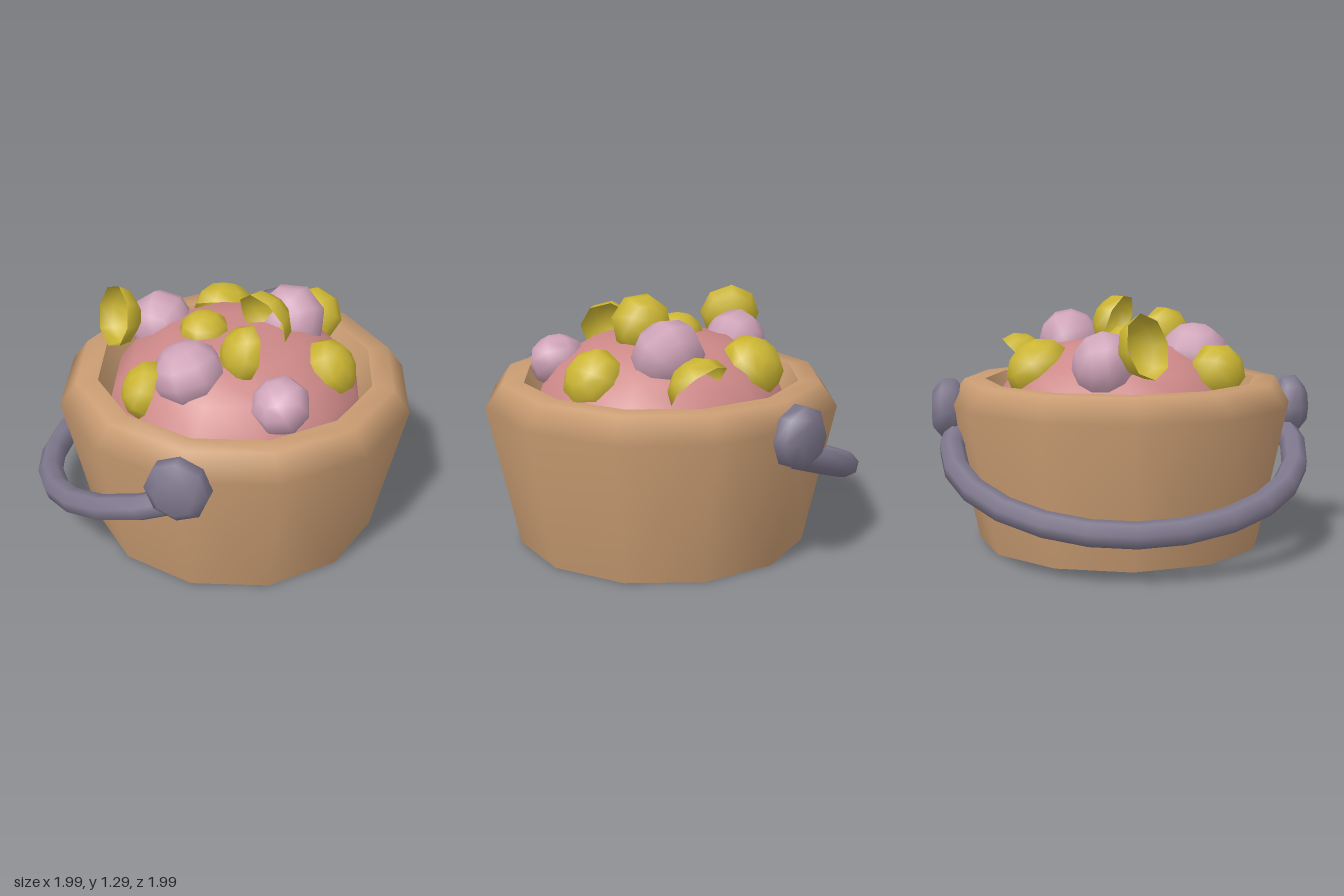
import * as THREE from 'three';

const material = (name, color, side = THREE.FrontSide) => {
  const m = new THREE.MeshStandardMaterial({ color, side });
  m.name = name;
  return m;
};

const lathe = (points, sides) =>
  new THREE.LatheGeometry(points.map(([r, y]) => new THREE.Vector2(r, y)), sides);

export function createModel() {
  const group = new THREE.Group();
  const wood = material('tan wood', 0xc99c72);
  const metal = material('grey violet metal', 0x7f788d);
  const filling = material('rose filling', 0xcc8887);
  const pink = material('pale pink berry', 0xcfa3b8);
  const yellow = material('yellow shell', 0xcbb533, THREE.DoubleSide);
  const cx = 0.07;

  const add = (name, geometry, mat, x = 0, y = 0, z = 0) => {
    const mesh = new THREE.Mesh(geometry, mat);
    mesh.name = name;
    mesh.position.set(x, y, z);
    group.add(mesh);
    return mesh;
  };

  // Twelve-sided bucket: tapered wall, bevelled rim, recessed inside
  add('bucketWall', lathe([[0.76, 0], [0.92, 0.74], [0.83, 0.86], [0.72, 0.86]], 12), wood, cx);
  add('bucketInside', lathe([[0.72, 0.86], [0.64, 0.68]], 12), wood, cx);
  add('bucketBottom', lathe([[0, 0], [0.76, 0]], 12), wood, cx);

  // Domed filling
  add('filling', lathe([[0.67, 0.7], [0.64, 0.8], [0.54, 0.93], [0.36, 1.04], [0.18, 1.065], [0, 1.07]], 12),
    filling, cx);

  // Swinging handle resting to one side
  const path = [];
  for (let i = 0; i <= 14; i++) {
    const t = -1.82 + (3.64 * i) / 14;
    const x = -0.13 - 0.8 * Math.cos(t);
    path.push(new THREE.Vector3(x, 0.24 + 0.36 * (x + 0.94), 0.89 * Math.sin(t)));
  }
  add('handle', new THREE.TubeGeometry(new THREE.CatmullRomCurve3(path), 14, 0.067, 7), metal);

  // Octagonal pivot knobs, front and back
  const knob = lathe([[0, -0.085], [0.1, -0.085], [0.16, -0.035], [0.16, 0.035], [0.1, 0.085], [0, 0.085]], 8);
  knob.rotateX(Math.PI / 2);
  for (const s of [1, -1]) add(s > 0 ? 'frontKnob' : 'backKnob', knob, metal, cx, 0.7, s * 0.912);

  // Round berries: x, y, z, radius
  const berries = [
    [-0.06, 0.99, 0.37, 0.185],
    [0.42, 0.92, 0.41, 0.152],
    [0.29, 1.03, -0.26, 0.19],
    [-0.38, 0.97, -0.12, 0.18],
  ];
  berries.forEach(([x, y, z, r], i) => {
    const b = add('berry' + (i + 1), new THREE.SphereGeometry(r, 8, 6), pink, x, y, z);
    b.scale.y = 0.9;
    b.rotation.set(0.4 * i, 0.6 * i, 0.3);
  });

  // Hollow half shells: centre of opening, radius, direction of the bulge
  const shells = [
    [[-0.13, 0.93, -0.44], 0.175, [-0.1, 0.75, -0.6]],
    [[0.35, 0.93, -0.52], 0.16, [0.05, 0.7, 0.7]],
    [[0.21, 1.14, 0.0], 0.16, [0.45, 0.3, -0.8]],
    [[0.555, 0.91, -0.01], 0.165, [0.8, 0.55, 0]],
    [[0.2, 1.08, 0.25], 0.15, [-0.75, 0.3, 0.6]],
    [[-0.09, 1.04, 0.03], 0.135, [0, 1, 0]],
    [[-0.57, 1.08, 0.08], 0.165, [0.65, -0.25, -0.7]],
    [[-0.24, 0.92, 0.47], 0.15, [-0.8, 0.35, 0.35]],
  ];
  const up = new THREE.Vector3(0, 1, 0);
  shells.forEach(([p, r, dir], i) => {
    const shell = add('shell' + (i + 1),
      new THREE.SphereGeometry(r, 8, 3, 0, Math.PI * 2, 0, Math.PI / 2), yellow, ...p);
    shell.quaternion.setFromUnitVectors(up, new THREE.Vector3(...dir).normalize());
    shell.scale.y = 0.85;
  });

  return group;
}
